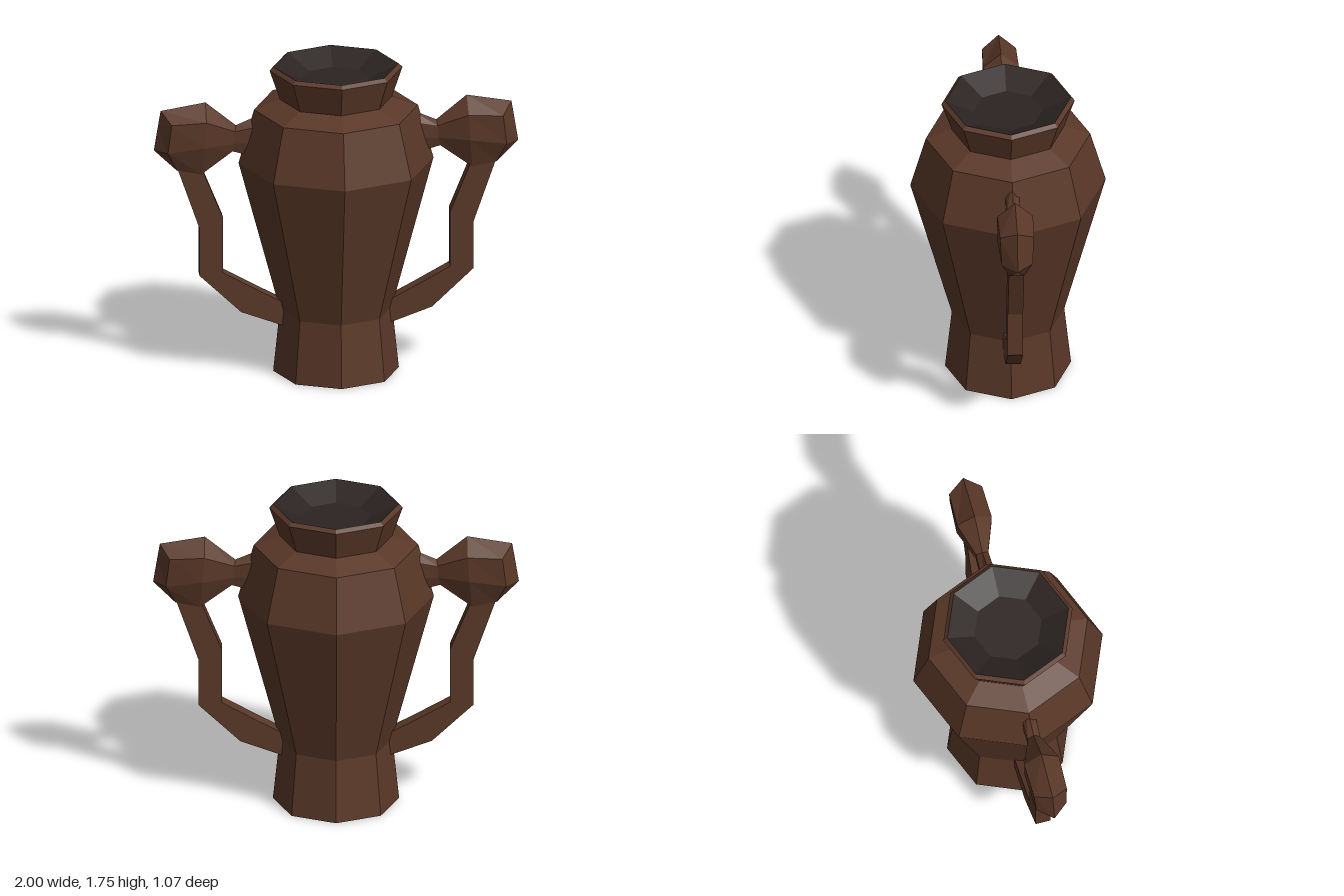
import * as THREE from 'three';

const SIDES = 8;
const clay = new THREE.MeshStandardMaterial({ color: 0x5a3828, flatShading: true });
const dark = new THREE.MeshStandardMaterial({ color: 0x2c2422, flatShading: true });

function lathe(name, profile, material) {
  const pts = profile.map(([r, y]) => new THREE.Vector2(r, y));
  const mesh = new THREE.Mesh(new THREE.LatheGeometry(pts, SIDES), material);
  mesh.name = name;
  return mesh;
}

// Joins equal-length cross-sections into a closed solid whose faces point outward.
function loft(name, sections, material) {
  const n = sections[0].length;
  const pts = sections.flat();
  const faces = [];
  for (let s = 0; s < sections.length - 1; s++) {
    for (let i = 0; i < n; i++) {
      const j = (i + 1) % n;
      const a = s * n + i, b = s * n + j, c = a + n, d = b + n;
      faces.push([a, b, d], [a, d, c]);
    }
  }
  const last = (sections.length - 1) * n;
  for (let i = 1; i < n - 1; i++) {
    faces.push([0, i + 1, i], [last, last + i, last + i + 1]);
  }
  // signed volume tells whether the faces must be flipped
  const v = pts.map((p) => new THREE.Vector3(...p));
  const volume = faces.reduce((sum, [a, b, c]) => sum + v[a].dot(v[b].clone().cross(v[c])), 0);
  if (volume < 0) faces.forEach((f) => f.reverse());

  const geometry = new THREE.BufferGeometry();
  geometry.setAttribute('position', new THREE.Float32BufferAttribute(pts.flat(), 3));
  geometry.setIndex(faces.flat());
  const flat = geometry.toNonIndexed();
  flat.computeVertexNormals();
  const mesh = new THREE.Mesh(flat, material);
  mesh.name = name;
  return mesh;
}

// Seven-sided section: pointed top, two side pairs, flat underside. Each entry is [x, y, half width].
function knobSection(top, upper, lower, bottom) {
  const at = ([x, y, w], side) => [x, y, w * side];
  return [[top[0], top[1], 0], at(upper, 1), at(lower, 1), at(bottom, 1),
    at(bottom, -1), at(lower, -1), at(upper, -1)];
}

function createHandle() {
  const handle = new THREE.Group();

  // Bent square bar: [inner x, inner y, outer x, outer y] at each joint
  const w = 0.042;
  const joints = [
    [0.27, 0.395, 0.29, 0.272],
    [0.43, 0.48, 0.524, 0.358],
    [0.623, 0.588, 0.752, 0.574],
    [0.623, 0.904, 0.752, 0.845],
    [0.735, 1.18, 0.875, 1.2],
  ];
  const bar = joints.map(([ix, iy, ox, oy]) => [
    [ix, iy, w], [ox, oy, w], [ox, oy, -w], [ix, iy, -w],
  ]);
  handle.add(loft('handleBar', bar, clay));

  // Faceted knob with a thin neck reaching into the shoulder
  const knob = [
    knobSection([0.4, 1.49], [0.4, 1.43, 0.04], [0.42, 1.33, 0.04], [0.46, 1.25, 0.02]),
    knobSection([0.55, 1.425], [0.555, 1.4, 0.035], [0.56, 1.33, 0.035], [0.57, 1.283, 0.025]),
    knobSection([0.717, 1.562], [0.72, 1.475, 0.098], [0.73, 1.33, 0.098], [0.743, 1.162, 0.045]),
    knobSection([0.963, 1.52], [0.91, 1.465, 0.093], [0.93, 1.3, 0.085], [0.877, 1.187, 0.042]),
    knobSection([0.963, 1.52], [0.978, 1.43, 0], [1.0, 1.294, 0], [0.877, 1.187, 0.042]),
  ];
  handle.add(loft('handleKnob', knob, clay));
  return handle;
}

export function createModel() {
  const model = new THREE.Group();
  model.name = 'vase';

  // Outer shell from the foot up to the lip
  model.add(lathe('body', [
    [0, 0], [0.345, 0], [0.308, 0.355], [0.535, 1.207], [0.45, 1.512],
    [0.308, 1.567], [0.365, 1.735], [0.343, 1.755],
  ], clay));

  // Shallow dark mouth
  model.add(lathe('mouth', [[0.343, 1.755], [0.19, 1.68], [0, 1.68]], dark));

  // Matching handles on both sides
  ['leftHandle', 'rightHandle'].forEach((name, i) => {
    const handle = createHandle();
    handle.name = name;
    handle.rotation.y = i * Math.PI;
    model.add(handle);
  });
  return model;
}
